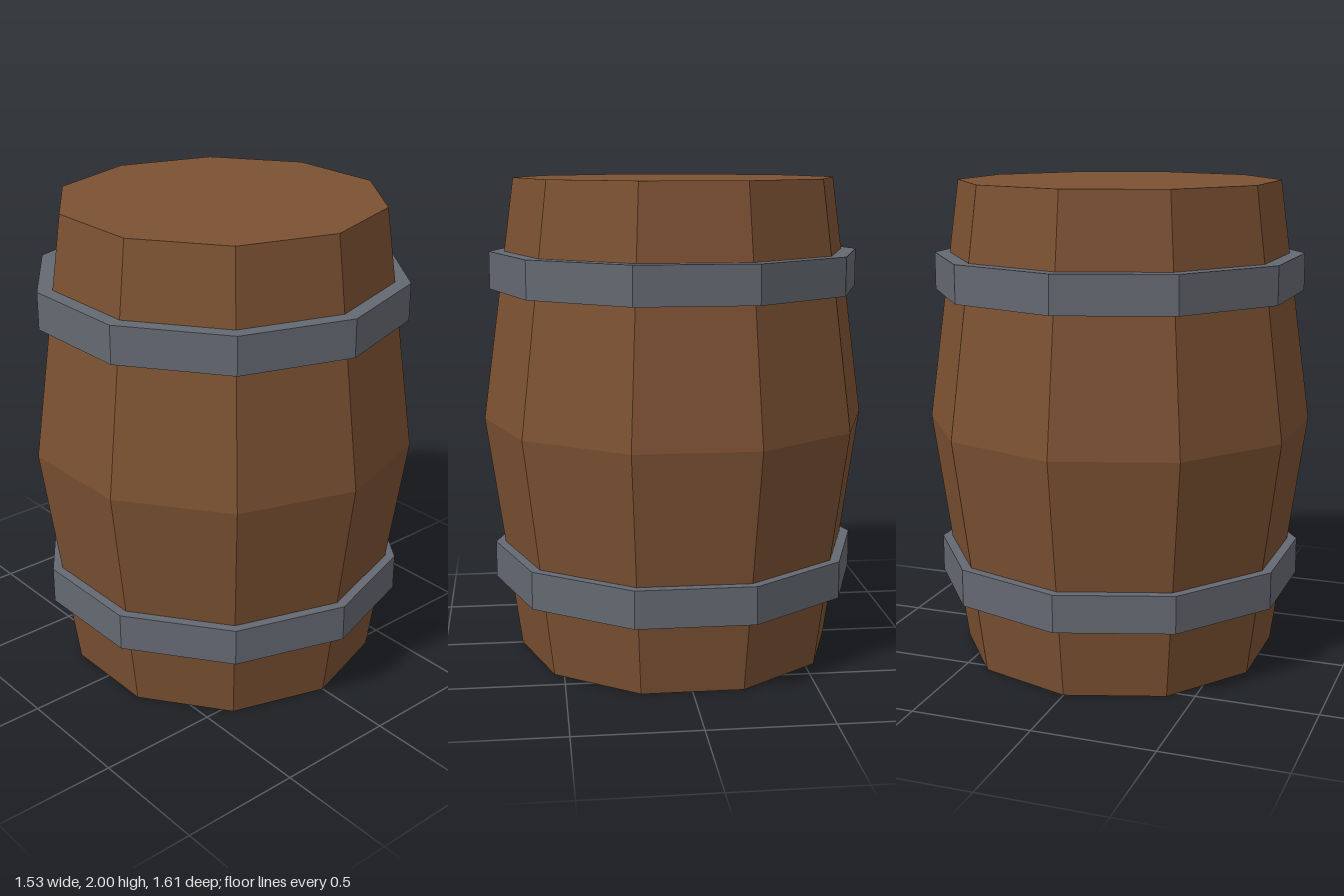
import * as THREE from 'three';

const SIDES = 10;

// Faceted ten-sided solid turned from [radius, height] points, bottom to top
function turned(name, profile, material) {
  const points = profile.map(([r, y]) => new THREE.Vector2(r, y));
  // Separate corners so that every facet keeps its own flat normal
  const geometry = new THREE.LatheGeometry(points, SIDES).toNonIndexed();
  geometry.computeVertexNormals();
  const mesh = new THREE.Mesh(geometry, material);
  mesh.name = name;
  return mesh;
}

export function createModel() {
  const wood = new THREE.MeshStandardMaterial({ color: 0x7b5132 });
  wood.name = 'brown wood';
  const iron = new THREE.MeshStandardMaterial({ color: 0x646871 });
  iron.name = 'grey iron';

  const barrel = new THREE.Group();
  barrel.name = 'barrel';

  // Bulging body with flat ends
  barrel.add(turned('body', [[0, 0], [0.667, 0], [0.806, 1], [0.667, 2], [0, 2]], wood));

  // Two hoops, their inner edges sunk into the body
  for (const [name, y0, y1] of [['lowerHoop', 0.305, 0.46], ['upperHoop', 1.545, 1.7]]) {
    barrel.add(turned(name, [[0.68, y0], [0.772, y0], [0.772, y1], [0.68, y1]], iron));
  }
  return barrel;
}
